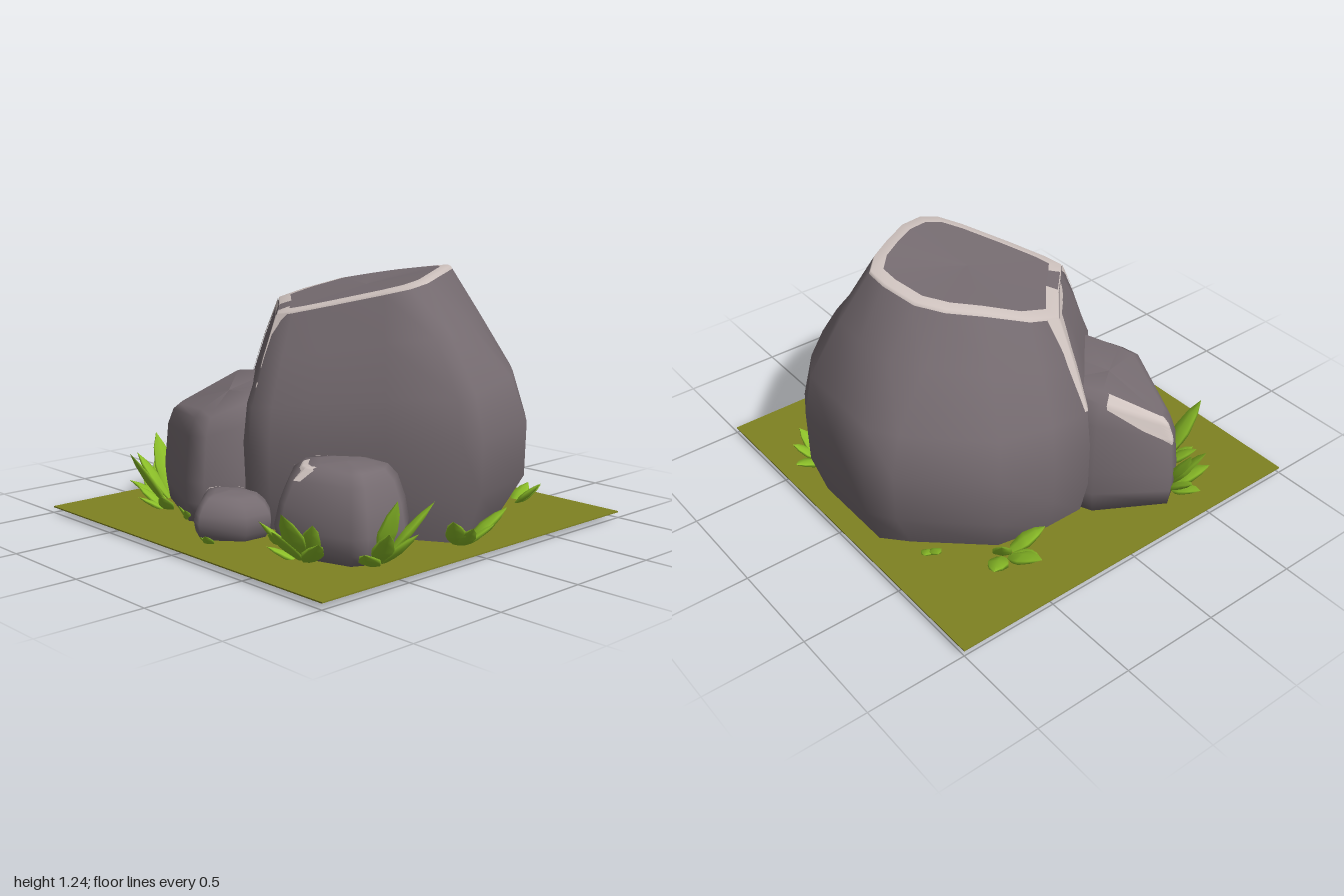
import * as THREE from 'three';

const paint = (name, color) => Object.assign(new THREE.MeshStandardMaterial({ color }), { name });
const V = (x, y, z) => new THREE.Vector3(x, y, z);

function addMesh(parent, name, geometry, material) {
  const mesh = new THREE.Mesh(geometry, material);
  mesh.name = name;
  parent.add(mesh);
  return mesh;
}

// Skin over rows of points, listed from top to bottom
function loft(rows, closed = true) {
  const n = rows[0].length, index = [];
  for (let k = 0; k < rows.length - 1; k++) {
    for (let i = 0; i < (closed ? n : n - 1); i++) {
      const a = k * n + i, b = k * n + (i + 1) % n;
      index.push(a, a + n, b + n, a, b + n, b);
    }
  }
  const g = new THREE.BufferGeometry().setFromPoints(rows.flat());
  g.setIndex(index);
  g.computeVertexNormals();
  return g;
}

const centre = (row) => row.reduce((s, p) => s.add(p), V(0, 0, 0)).divideScalar(row.length);
const mixRows = (a, b, t) => a.map((p, i) => p.clone().lerp(b[i], t));

// Rings between the top edge [x, z, y] and widest outline [x, z, tuck]; steps are [spread, drop].
// Tuck pulls a corner in above and below the widest ring.
function rings(top, wide, steps, base) {
  return steps.map(([t, s]) => top.map(([x, z, y], i) => {
    const [wx, wz, tuck = 0] = wide[i];
    const f = t - Math.min(t, 1 - t, 0.2) * tuck;
    return V(x + (wx - x) * f, y + (base - y) * s, z + (wz - z) * f);
  }));
}

// Point on the skin at column u, row v, using the same diagonals as loft
function onSkin(rows, u, v) {
  const n = rows[0].length;
  u = ((u % n) + n) % n;
  const i = Math.floor(u), k = Math.min(Math.floor(v), rows.length - 2), a = u - i, b = v - k, j = (i + 1) % n;
  const p00 = rows[k][i], p10 = rows[k][j], p01 = rows[k + 1][i], p11 = rows[k + 1][j];
  const p = p00.clone(), add = (to, from, w) => p.addScaledVector(to.clone().sub(from), w);
  if (a >= b) { add(p10, p00, a); add(p11, p10, b); } else { add(p01, p00, b); add(p11, p01, a); }
  return p;
}

// Thin painted patch following a skin; spans are [v, uStart, uEnd]
function patch(rows, spans) {
  const out = [], mid = centre(rows.flat());
  for (let s = 0; s < spans.length - 1; s++) {
    for (let q = s ? 1 : 0; q <= 6; q++) {
      const [v, u0, u1] = spans[s].map((c, i) => THREE.MathUtils.lerp(c, spans[s + 1][i], q / 6));
      out.push(Array.from({ length: 17 }, (_, i) => {
        const p = onSkin(rows, u0 + (u1 - u0) * i / 16, v);
        return p.addScaledVector(p.clone().sub(mid).normalize(), 0.006);
      }));
    }
  }
  return loft(out, false);
}

// Flattened pointed leaf running from base to tip
function leaf(base, tip) {
  const length = base.distanceTo(tip), w = Math.min(0.21 * length, 0.055);
  const profile = [[0, 0], [0.45, 0.15], [0.9, 0.4], [1, 0.55], [0.65, 0.8], [0, 1]];
  const g = new THREE.LatheGeometry(profile.map(([r, y]) => new THREE.Vector2(r, y)), 6);
  g.scale(w, length, w * 0.35);
  const y = tip.clone().sub(base).normalize();
  const x = V(y.z, 0, -y.x).normalize();
  g.applyMatrix4(new THREE.Matrix4().makeBasis(x, y, x.clone().cross(y)).setPosition(base));
  return g;
}

export function createModel() {
  const model = new THREE.Group();
  model.name = 'boulders';
  const rock = paint('rock grey', 0x766c71);
  const worn = paint('worn edge', 0xcfc3bf);
  const olive = paint('olive ground', 0x7f8222);
  const green = paint('leaf green', 0x8bbe28);

  // Ground
  const ground = addMesh(model, 'ground', new THREE.BoxGeometry(2, 0.006, 2), olive);
  ground.position.y = 0.036;

  // Main boulder with a sloping, slightly bent top
  const rim = [[-0.05, 0.32], [0.03, 0.29], [0.2, 0.19], [0.4, 0.06], [0.49, -0.02], [0.51, -0.11],
    [0.46, -0.25], [0.37, -0.4], [0.29, -0.52], [0.19, -0.61], [0.08, -0.61], [-0.1, -0.57],
    [-0.21, -0.48], [-0.31, -0.34], [-0.41, -0.17], [-0.43, -0.02], [-0.24, 0.14], [-0.11, 0.265]];
  const girth = [[0, 0.545], [0.1, 0.505], [0.28, 0.4], [0.57, 0.21], [0.865, 0.02, -0.2], [0.88, -0.1, 0.2],
    [0.76, -0.56, 0.6], [0.62, -0.72, 0.5], [0.45, -0.87, 0.2], [0.3, -0.955], [0.05, -0.955], [-0.2, -0.965],
    [-0.32, -0.88, 0.2], [-0.65, -0.52, 0.2], [-0.665, -0.22], [-0.66, 0], [-0.35, 0.26], [-0.1, 0.495]];
  const topY = (x, z) => Math.min(1.12 + 0.13 * x - 0.22 * z, 1.16 + 0.12 * x - 0.09 * z);
  const body = rings(rim.map(([x, z]) => [x, z, topY(x, z)]), girth,
    [[0, 0], [0.46, 0.2], [0.89, 0.42], [1, 0.6], [0.99, 0.82], [0.8, 1]], 0.037);
  const lip = mixRows(body[0], body[1], 0.06);
  const inner = body[0].map((p) => {
    const x = 0.06 + (p.x - 0.06) * 0.87, z = -0.17 + (p.z + 0.17) * 0.87;
    return V(x, topY(x, z) + 0.004, z);
  });
  const main = new THREE.Group();
  main.name = 'mainBoulder';
  model.add(main);
  addMesh(main, 'boulderSides', loft([lip, ...body.slice(1)]), rock);
  addMesh(main, 'boulderTop', loft([inner.map(() => centre(inner)), inner]), rock);
  // The worn rim has one bare gap at the front left
  const rimSkin = loft([inner, body[0], lip]), gap = 16;
  rimSkin.addGroup(0, gap * 6, 0);
  rimSkin.addGroup(gap * 6, 6, 1);
  rimSkin.addGroup(gap * 6 + 6, Infinity, 0);
  addMesh(main, 'wornRim', rimSkin, [worn, rock]);
  [
    [[0.05, -0.8, 0.8], [0.2, -0.45, 0.4], [0.5, -0.12, 0.1], [1.2, -0.05, 0.03]],
    [[1.5, -0.1, 0.06], [1.6, -0.06, 0.04]],
    [[0.05, 14.55, 15.4], [0.8, 14.75, 15.2], [1.95, 14.92, 15.1]],
    [[0.05, 15.2, 16.5], [0.18, 15.3, 16.3], [0.26, 15.8, 16.1]],
  ].forEach((spans) => addMesh(main, 'wornStreak', patch(body, spans), worn));

  // Smaller stones with rounded shoulders
  function stone(name, base, top, wide, steps, streaks) {
    const group = new THREE.Group();
    group.name = name;
    model.add(group);
    const skin = rings(top, wide, steps, base);
    const mid = centre(skin[0]);
    mid.y += 0.006;
    const foot = skin[skin.length - 1];
    addMesh(group, name + 'Body', loft([skin[0].map(() => mid), ...skin, foot.map(() => centre(foot))]), rock);
    streaks.forEach((spans) => addMesh(group, name + 'Streak', patch(skin, spans), worn));
  }
  const shrink = (wide, cx, cz, s, y) => wide.map(([x, z]) => [cx + (x - cx) * s, cz + (z - cz) * s, y]);

  stone('blockStone', 0.036,
    [[-0.34, 0.56, 0.57], [-0.26, 0.54, 0.58], [-0.17, 0.4, 0.66], [-0.17, 0.15, 0.69],
      [-0.42, 0, 0.7], [-0.6, 0.12, 0.685], [-0.77, 0.35, 0.53], [-0.72, 0.41, 0.53]],
    [[-0.31, 0.685], [-0.21, 0.65], [-0.06, 0.48], [-0.08, 0.1],
      [-0.4, -0.1], [-0.67, 0.02], [-0.86, 0.36], [-0.8, 0.45]],
    [[0, 0], [0.4, 0.06], [0.76, 0.22], [1, 0.62], [0.97, 0.82], [0.85, 1]],
    [[[0, 5.1, 6.1], [1.2, 5.1, 6.2], [1.8, 5.6, 6.3], [2.1, 6, 6.25]]]);

  const domeWide = [[0.44, 0.735], [0.78, 0.63], [0.815, 0.56], [0.82, 0.34], [0.7, 0.19],
    [0.45, 0.17], [0.25, 0.32], [0.17, 0.5], [0.36, 0.7]];
  stone('domeStone', 0.028, shrink(domeWide, 0.56, 0.42, 0.42, 0.44), domeWide,
    [[0, 0], [0.35, 0.03], [0.65, 0.15], [0.88, 0.4], [1, 0.66], [0.93, 0.85], [0.72, 1]],
    [[[0.6, -1.7, 0.12], [1.1, -1.5, 0.17], [1.3, -0.3, 0.15], [2, -0.05, 0.12]],
      [[0.2, 6.35, 6.65], [1, 6.5, 6.85], [2, 6.75, 7.03], [2.8, 6.92, 7.03]]]);

  const pebbleWide = [[0, 0.845], [0.17, 0.7], [0.175, 0.56], [0.08, 0.48], [-0.08, 0.48],
    [-0.21, 0.57], [-0.23, 0.66], [-0.07, 0.82]];
  stone('pebbleStone', 0.028, shrink(pebbleWide, -0.02, 0.65, 0.42, 0.238), pebbleWide,
    [[0, 0], [0.4, 0.05], [0.74, 0.21], [0.94, 0.4], [1, 0.57], [0.93, 0.79], [0.7, 1]],
    [[[0.3, 3.5, 6], [0.6, 3.7, 6.1], [0.9, 4.8, 6.1], [1.4, 5.5, 6.05]]]);

  // Grass tufts: base [x, z], then leaf tips [x, y, z]
  [
    [[-0.72, 0.46], [-0.92, 0.35, 0.42], [-0.96, 0.21, 0.4], [-0.88, 0.27, 0.57], [-0.85, 0.14, 0.64], [-0.93, 0.1, 0.5]],
    [[-0.58, 0.57], [-0.62, 0.34, 0.79], [-0.72, 0.14, 0.68], [-0.5, 0.13, 0.7], [-0.66, 0.1, 0.72]],
    [[0.52, 0.65], [0.65, 0.31, 0.91], [0.42, 0.22, 0.84], [0.76, 0.18, 0.8], [0.53, 0.2, 0.86], [0.68, 0.24, 0.76], [0.4, 0.09, 0.78]],
    [[0.76, 0.46], [0.92, 0.3, 0.26], [0.96, 0.19, 0.4], [0.95, 0.22, 0.57], [0.88, 0.13, 0.65], [0.91, 0.34, 0.48]],
    [[0.82, -0.02], [0.93, 0.19, -0.22], [0.97, 0.15, 0.06], [0.93, 0.19, 0.15], [0.94, 0.13, -0.12]],
    [[-0.61, -0.48], [-0.8, 0.16, -0.68], [-0.85, 0.13, -0.44], [-0.69, 0.14, -0.29], [-0.73, 0.2, -0.58], [-0.77, 0.09, -0.4]],
    [[0.51, -0.76], [0.66, 0.15, -0.81], [0.6, 0.12, -0.89], [0.47, 0.1, -0.95]],
    [[-0.36, -0.72], [-0.5, 0.1, -0.77], [-0.46, 0.09, -0.82]],
    [[0.03, 0.79], [0.09, 0.09, 0.88], [0.02, 0.07, 0.86]],
    [[-0.35, 0.62], [-0.37, 0.11, 0.69], [-0.3, 0.1, 0.7]],
    [[0.27, 0.58], [0.29, 0.11, 0.67], [0.25, 0.09, 0.65]],
  ].forEach(([[x, z], ...tips]) => {
    const tuft = new THREE.Group();
    tuft.name = 'grassTuft';
    model.add(tuft);
    tips.forEach((tip) => addMesh(tuft, 'leaf', leaf(V(x, 0.006, z), V(...tip)), green));
  });

  return model;
}
